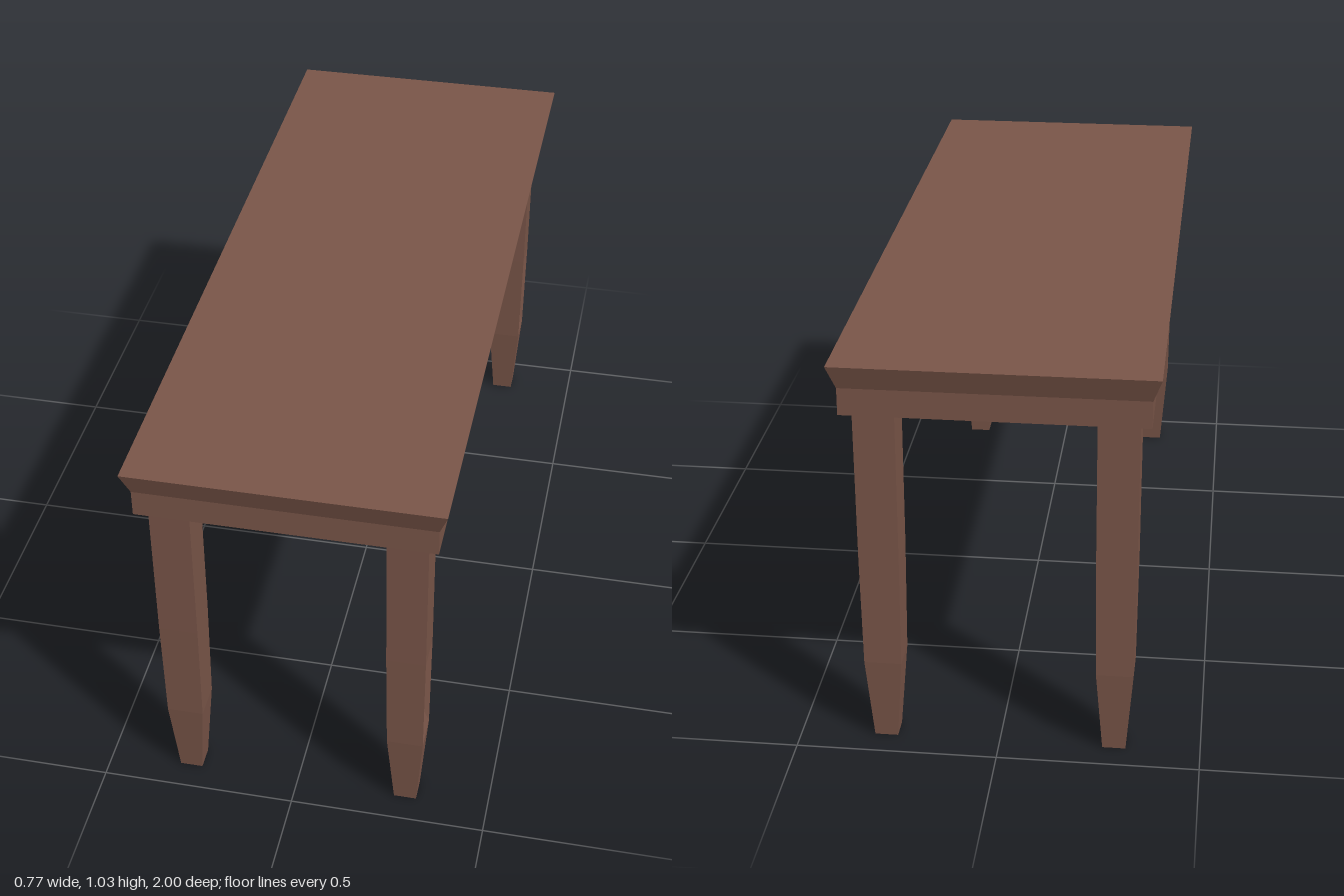
import * as THREE from 'three';

const wood = new THREE.MeshStandardMaterial({ color: 0x795548, flatShading: true });

// Rectangular cross-sections [y, halfX, halfZ] joined into a closed solid.
// recess: index of the level whose +x face gets a sunken panel.
function rectLoft(levels, recess = -1) {
  const pos = [];
  const quad = (a, b, c, d) => [a, b, c, a, c, d].forEach(p => pos.push(...p));
  // corners run counter-clockwise seen from below, starting at +x +z
  const ring = ([y, hx, hz]) => [[hx, y, hz], [hx, y, -hz], [-hx, y, -hz], [-hx, y, hz]];
  const rings = levels.map(ring);
  for (let i = 0; i < rings.length - 1; i++) {
    const lo = rings[i], hi = rings[i + 1];
    for (let k = 0; k < 4; k++) {
      const n = (k + 1) % 4;
      const outer = [lo[k], lo[n], hi[n], hi[k]];
      if (i === recess && k === 0) {
        // sunken panel with sloping borders
        const inset = outer.map(([x, y, z], j) => [x - 0.018, y + (j < 2 ? 0.06 : -0.045), z * 0.66]);
        for (let j = 0; j < 4; j++) {
          const m = (j + 1) % 4;
          quad(outer[j], outer[m], inset[m], inset[j]);
        }
        quad(...inset);
      } else quad(...outer);
    }
  }
  const top = rings[rings.length - 1], base = rings[0];
  quad(top[0], top[1], top[2], top[3]);
  quad(base[3], base[2], base[1], base[0]);
  const g = new THREE.BufferGeometry();
  g.setAttribute('position', new THREE.Float32BufferAttribute(pos, 3));
  g.computeVertexNormals();
  return g;
}

export function createModel() {
  const model = new THREE.Group();
  model.name = 'table';
  const add = (name, geometry, x = 0, z = 0) => {
    const mesh = new THREE.Mesh(geometry, wood);
    mesh.name = name;
    mesh.position.set(x, 0, z);
    model.add(mesh);
  };

  // Straight apron flaring out to the flat top
  add('tableTop', rectLoft([[0.905, 0.363, 0.98], [0.973, 0.363, 0.98], [1.033, 0.384, 1]]));

  // Tapered square legs; those on the +x side carry a sunken panel
  const legLevels = [[0, 0.029, 0.029], [0.22, 0.046, 0.046], [0.51, 0.049, 0.049], [0.906, 0.05, 0.05]];
  for (const sx of [-1, 1]) {
    const leg = rectLoft(legLevels, sx > 0 ? 1 : -1);
    for (const sz of [-1, 1]) {
      add((sz > 0 ? 'front' : 'back') + (sx > 0 ? 'Left' : 'Right') + 'Leg', leg, sx * 0.286, sz * 0.9);
    }
  }
  return model;
}
